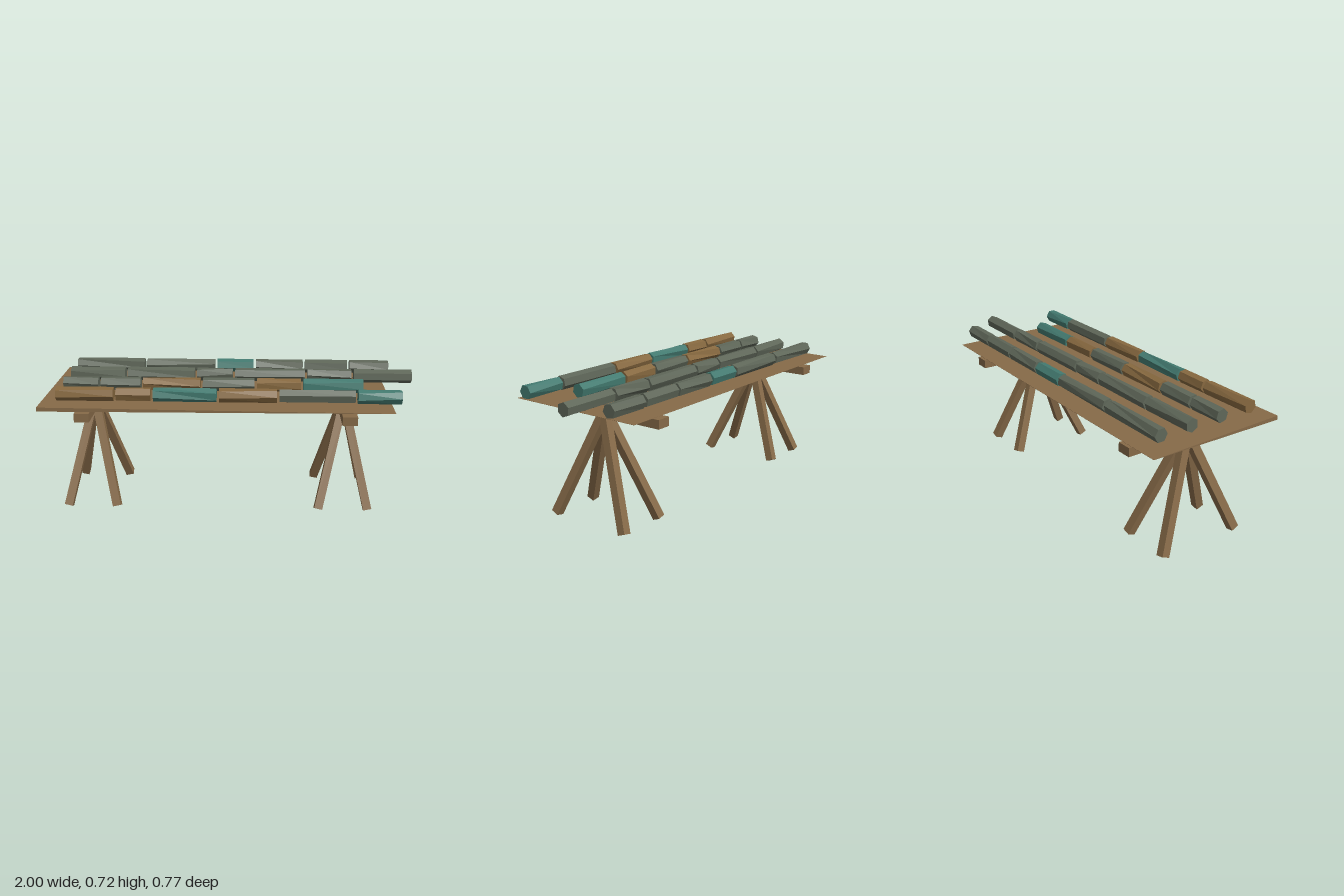
import * as THREE from 'three';

const mat = (name, color) => {
  const m = new THREE.MeshStandardMaterial({ color, flatShading: true });
  m.name = name;
  return m;
};

export function createModel() {
  const wood = mat('wood', 0x866a48);
  const tints = {
    b: mat('brown', 0x86683f),
    t: mat('teal', 0x437a70),
    g: mat('grey green', 0x5e6658),
  };
  const model = new THREE.Group();
  model.name = 'trestleTable';

  let seed = 7;
  const rand = () => (seed = (seed * 16807) % 2147483647) / 2147483647;

  const add = (parent, name, geometry, material) => {
    const mesh = new THREE.Mesh(geometry, material);
    mesh.name = name;
    parent.add(mesh);
    return mesh;
  };

  // Table top: a very thin sheet that thickens toward the front corner at -x
  const top = new THREE.BoxGeometry(1.85, 1, 0.775);
  top.translate(-0.075, 0, -0.0025);
  const p = top.attributes.position;
  for (let i = 0; i < p.count; i++) {
    const thick = p.getX(i) < 0 && p.getZ(i) > 0 ? 0.022 : 0.001;
    p.setY(i, 0.631 + p.getY(i) * thick);
  }
  top.computeVertexNormals();
  add(model, 'tableTop', top, wood);

  // Two trestles: a cross beam on four splayed legs
  const down = new THREE.Vector3(0, -1, 0);
  for (const x of [-0.77, 0.62]) {
    const trestle = new THREE.Group();
    trestle.name = 'trestle';
    trestle.position.x = x;
    model.add(trestle);
    add(trestle, 'beam', new THREE.BoxGeometry(0.078, 0.047, 0.76), wood).position.y = 0.584;
    for (const sx of [-1, 1]) {
      for (const sz of [-1, 1]) {
        const a = new THREE.Vector3(sx * 0.002, 0.572, 0);
        const b = new THREE.Vector3(sx * 0.136, 0.013, sz * 0.233);
        const leg = add(trestle, 'leg', new THREE.BoxGeometry(0.045, a.distanceTo(b), 0.045), wood);
        leg.position.copy(a).lerp(b, 0.5);
        leg.quaternion.setFromUnitVectors(down, b.sub(a).normalize());
      }
    }
  }

  // Slightly twisted hexagonal rod lying along x
  const rod = (length) => {
    const g = new THREE.CylinderGeometry(0.0375, 0.0375, length, 6);
    const start = rand() * Math.PI;
    const twist = (rand() - 0.5) * 0.9;
    const pos = g.attributes.position;
    const v = new THREE.Vector3();
    const axis = new THREE.Vector3(0, 1, 0);
    for (let i = 0; i < pos.count; i++) {
      v.fromBufferAttribute(pos, i);
      v.applyAxisAngle(axis, start + (v.y > 0 ? twist : 0));
      pos.setXYZ(i, v.x, v.y, v.z);
    }
    g.rotateZ(-Math.PI / 2);
    g.computeVertexNormals();
    return g;
  };

  // Four rows of rods; each row lists the end of every piece along x
  const rows = [
    { z: -0.28, tint: 'ggtggg', ends: [-0.515, -0.103, 0.122, 0.408, 0.665, 0.902] },
    { z: -0.095, tint: 'gggggg', ends: [-0.6, -0.207, 0.007, 0.412, 0.672, 1.007] },
    { z: 0.093, tint: 'ggbgbt', ends: [-0.717, -0.487, -0.162, 0.132, 0.382, 0.717] },
    { z: 0.28, tint: 'bbtbgt', ends: [-0.605, -0.41, -0.065, 0.25, 0.657, 0.897] },
  ];
  for (const { z, tint, ends } of rows) {
    const row = new THREE.Group();
    row.name = 'rodRow';
    row.position.set(0, 0.686, z);
    model.add(row);
    let from = -0.922;
    ends.forEach((to, i) => {
      add(row, 'rod', rod(to - from - 0.014), tints[tint[i]]).position.x = (from + to) / 2;
      from = to;
    });
  }
  return model;
}
